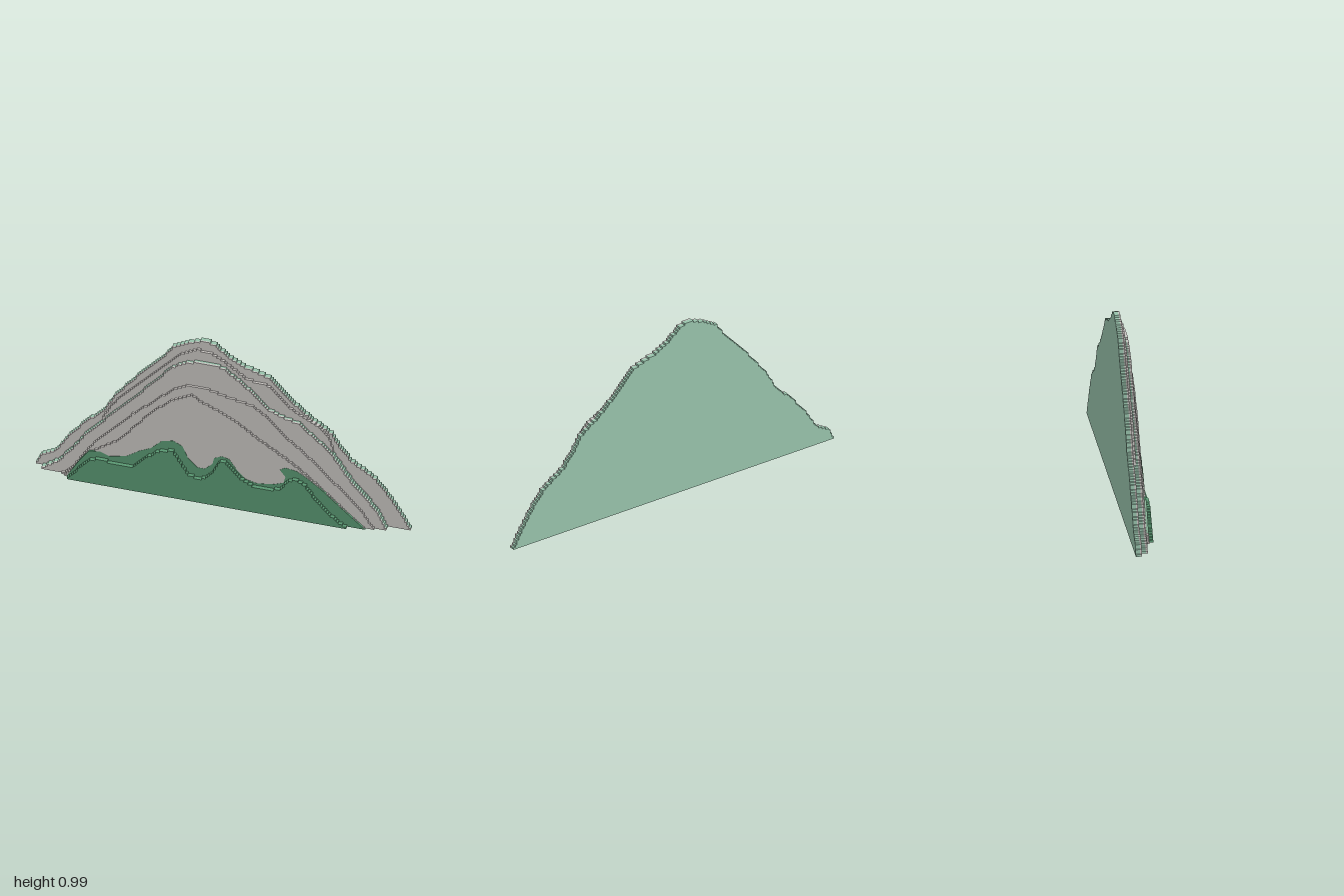
import * as THREE from 'three';

const mat = (name, color) => {
  const m = new THREE.MeshStandardMaterial({ color });
  m.name = name;
  return m;
};

// Ridge lines as [x, y] pairs in hundredths of a unit, left to right
const RIDGE = {
  back: [-100, 0, -97, 6, -89, 11, -83, 21, -74, 32, -63, 43, -58, 53, -53, 59, -42, 73, -31, 85, -27, 91, -18, 96,
    -9, 99, -4, 97, 3, 91, 10, 87, 25, 82, 31, 75, 38, 68, 49, 59, 58, 53, 62, 45, 69, 37, 81, 29, 87, 21, 92, 14, 100, 0],
  second: [-64, 39, -58, 49, -53, 56, -42, 67, -31, 79, -23, 88, -14, 93.5, -6, 93, 2, 88, 13, 80, 25, 78, 31, 71,
    39, 64, 52, 57, 57, 51, 59, 45],
  third: [-96, 0, -87, 7, -79, 17, -72, 28, -63, 38, -58, 44, -47, 56, -37, 68, -26, 81, -18, 86, -7, 87.5, 1, 86,
    9, 80, 18, 72, 24, 65, 33, 61, 41, 59, 49, 52, 57, 45, 64, 35, 70, 26, 78, 17, 84, 9, 88, 0],
  fourth: [-85, 0, -79, 6, -74, 14, -66, 26, -58, 34, -47, 47, -37, 56, -26, 67, -18, 72, -10, 72.5, 3, 69, 17, 66,
    25, 60, 33, 51, 44, 42, 54, 32, 65, 21, 76, 9, 82, 0],
  front: [-83, 0, -74, 11, -66, 21, -55, 29, -47, 38, -37, 51, -26, 61, -15, 67, -9, 63, 1, 59, 11, 53, 22, 45,
    33, 38, 44, 30, 54, 21, 65, 11, 77, 0],
  meadow: [-82, 0, -75, 12, -70, 19, -64, 20, -59, 18, -50, 20, -43, 25, -37, 28, -31, 34, -25, 35.5, -20, 33, -17, 26,
    -12, 21, -8, 21, -4, 25, -3, 29, 1, 31, 5, 30, 9, 24, 14, 19, 20, 17.5, 29, 19, 34, 21, 35, 25, 32, 29, 35, 31,
    41, 30, 46, 27, 54, 21, 65, 11, 77.5, 0],
  shrubs: [-81, 0, -74, 9, -68, 15.5, -62, 16, -53, 14.5, -46, 15.5, -39, 23, -31, 29, -25, 30, -21, 24, -17, 17,
    -10, 14.5, -3, 21, 0, 28, 3, 29.5, 7, 25, 13, 19, 20, 16, 32, 17, 37, 24, 41, 26, 46, 23, 52, 14, 60, 6, 68, 0],
};

const toPoints = (flat) => {
  const points = [];
  for (let i = 0; i < flat.length; i += 2) points.push(new THREE.Vector2(flat[i] / 100, flat[i + 1] / 100));
  return points;
};

// Turn a ridge line into a fine staircase closed along its base
function steppedShape(points, base) {
  const x0 = points[0].x, x1 = points[points.length - 1].x;
  const count = Math.round((x1 - x0) / 0.0107), rise = 0.0116;
  const heightAt = (x) => {
    const i = Math.max(1, points.findIndex((p) => p.x >= x));
    const a = points[i - 1], b = points[i];
    return a.y + (b.y - a.y) * (x - a.x) / (b.x - a.x);
  };
  const outline = [new THREE.Vector2(x0, base)];
  let last = base;
  for (let i = 0; i < count; i++) {
    const x = x0 + (x1 - x0) * i / count;
    const mid = x + (x1 - x0) / count / 2;
    const y = Math.max(base + rise, Math.round(heightAt(mid) / rise) * rise);
    if (Math.abs(y - last) > 1e-6) {
      if (i > 0) outline.push(new THREE.Vector2(x, last));
      outline.push(new THREE.Vector2(x, y));
      last = y;
    }
  }
  outline.push(new THREE.Vector2(x1, last), new THREE.Vector2(x1, base));
  return new THREE.Shape(outline);
}

export function createModel() {
  const group = new THREE.Group();
  group.name = 'layeredMountain';
  const stone = mat('stone grey', 0xc9c5c2);
  const sage = mat('sage green', 0x98c2ab);
  const green = mat('forest green', 0x5a9872);

  // Cut a slab between two depths
  const slab = (name, shape, z0, z1, material) => {
    const geometry = new THREE.ExtrudeGeometry(shape, { depth: z1 - z0, bevelEnabled: false });
    geometry.translate(0, 0, z0);
    const mesh = new THREE.Mesh(geometry, material);
    mesh.name = name;
    group.add(mesh);
  };
  const stepped = (key, base = 0) => steppedShape(toPoints(RIDGE[key]), base);

  // Rear ridge: sage backing with a stone face
  slab('backRidgeBacking', stepped('back'), -0.057, -0.034, sage);
  slab('backRidgeFace', stepped('back'), -0.034, -0.025, stone);

  // Second ridge, visible only around the summit
  slab('secondRidge', stepped('second', 0.1), -0.025, -0.011, stone);

  // Third ridge: sage backing with a stone face
  slab('thirdRidgeBacking', stepped('third'), -0.025, 0, sage);
  slab('thirdRidgeFace', stepped('third'), 0, 0.011, stone);

  // Front stone ridges
  slab('fourthRidge', stepped('fourth'), 0.011, 0.023, stone);
  slab('frontRidge', stepped('front'), 0.023, 0.034, stone);

  // Smooth meadow inlaid in the front ridge, then the raised shrub layer
  slab('meadow', new THREE.Shape(toPoints(RIDGE.meadow)), 0.0235, 0.035, green);
  slab('shrubLayer', stepped('shrubs'), 0.035, 0.057, green);
  return group;
}
